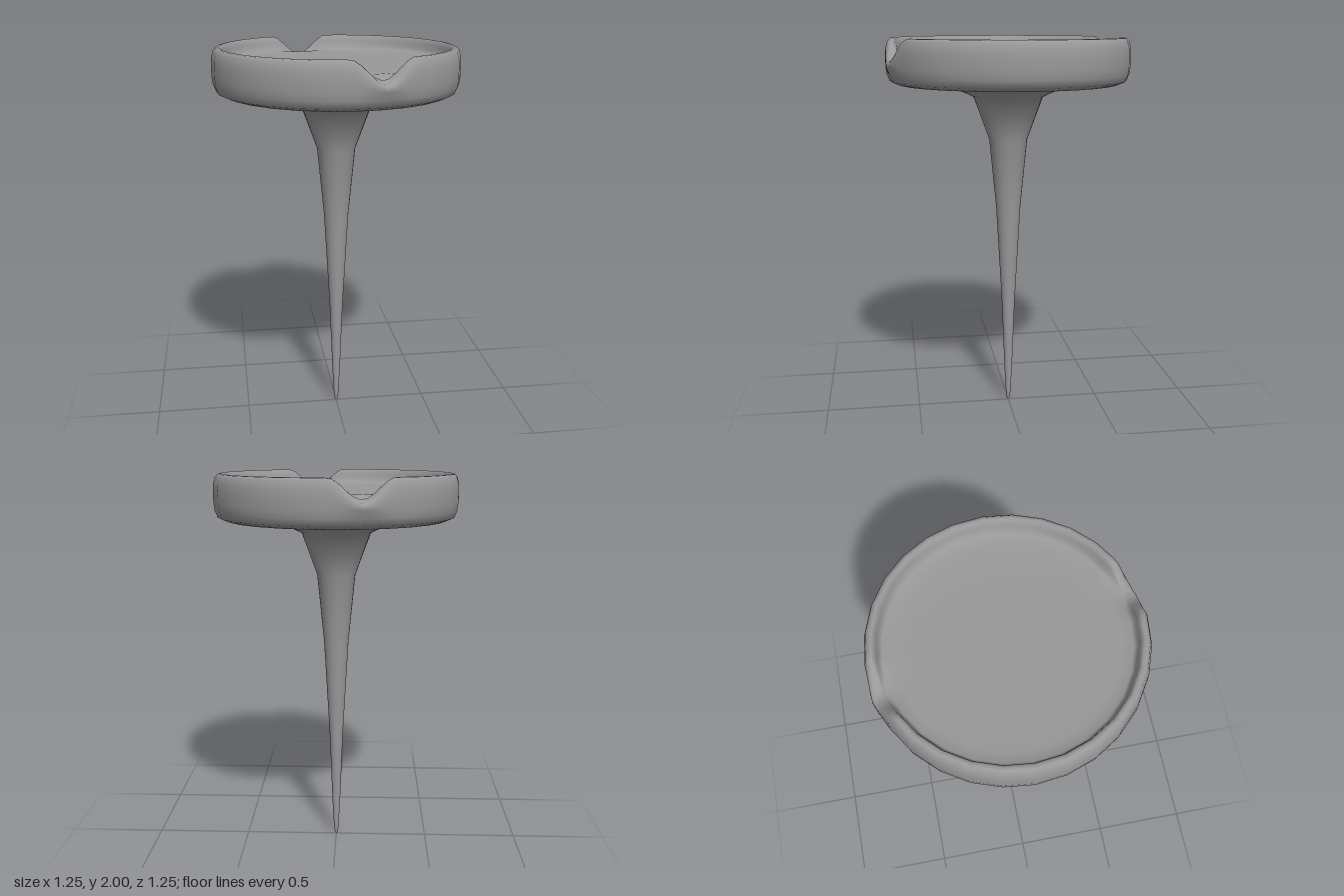
import * as THREE from 'three';
import { mergeVertices } from 'three/addons/utils/BufferGeometryUtils.js';

const SIDES = 28;                       // sides of the visible outline
const STEP = (Math.PI * 2) / SIDES;
const SPOUT_ANGLE = 0.235;              // spouts sit here and directly opposite

// Radius and height, from the spike's tip, under the dish, over the rim and in to the floor
const profile = [
  [0, 0], [0.008, 0.01], [0.013, 0.05], [0.021, 0.2], [0.036, 0.6], [0.065, 1.12], [0.1, 1.48],
  [0.18, 1.7], [0.32, 1.767], [0.45, 1.768], [0.565, 1.769], [0.605, 1.786], [0.619, 1.82], [0.624, 1.86],
  [0.624, 1.91], [0.622, 1.95], [0.612, 1.985], [0.599, 1.998], [0.585, 2], [0.574, 1.992],
  [0.567, 1.97], [0.561, 1.945], [0.548, 1.93], [0.5, 1.923], [0.44, 1.92], [0.25, 1.92], [0, 1.92],
];

// 1 at the middle of a spout, falling to 0 at its sides
function spoutWeight(angle) {
  const half = Math.PI;
  const a = angle - SPOUT_ANGLE;
  const d = Math.abs(a - half * Math.round(a / half));
  return 1 - THREE.MathUtils.smoothstep(d, 0, 0.27);
}

function buildDishAndSpike() {
  const lathe = new THREE.LatheGeometry(profile.map(([r, y]) => new THREE.Vector2(r, y)), SIDES * 4);
  lathe.deleteAttribute('uv');
  lathe.deleteAttribute('normal');
  const geometry = mergeVertices(lathe);
  const pos = geometry.attributes.position;

  // Press the two pouring spouts into the rim
  for (let i = 0; i < pos.count; i++) {
    const x = pos.getX(i), y = pos.getY(i), z = pos.getZ(i);
    if (y <= 1.86) continue;
    const w = spoutWeight(Math.atan2(x, z));
    const fade = THREE.MathUtils.smoothstep(Math.hypot(x, z), 0.49, 0.6);
    const push = 1 + 0.02 * w * fade;
    pos.setXYZ(i, x * push, 1.86 + (y - 1.86) * (1 - 0.78 * w * fade), z * push);
  }
  geometry.computeVertexNormals();

  // Flatten the round outline to straight sides, keeping the smooth normals
  for (let i = 0; i < pos.count; i++) {
    const x = pos.getX(i), z = pos.getZ(i);
    const a = Math.atan2(x, z);
    const local = a - (Math.floor(a / STEP) + 0.5) * STEP;
    const k = Math.cos(STEP / 2) / Math.cos(local);
    pos.setX(i, x * k);
    pos.setZ(i, z * k);
  }
  return geometry;
}

export function createModel() {
  const group = new THREE.Group();
  group.name = 'spikedDish';
  const material = new THREE.MeshStandardMaterial({ color: 0x999999 });
  const mesh = new THREE.Mesh(buildDishAndSpike(), material);
  mesh.name = 'dishAndSpike';
  group.add(mesh);
  return group;
}
